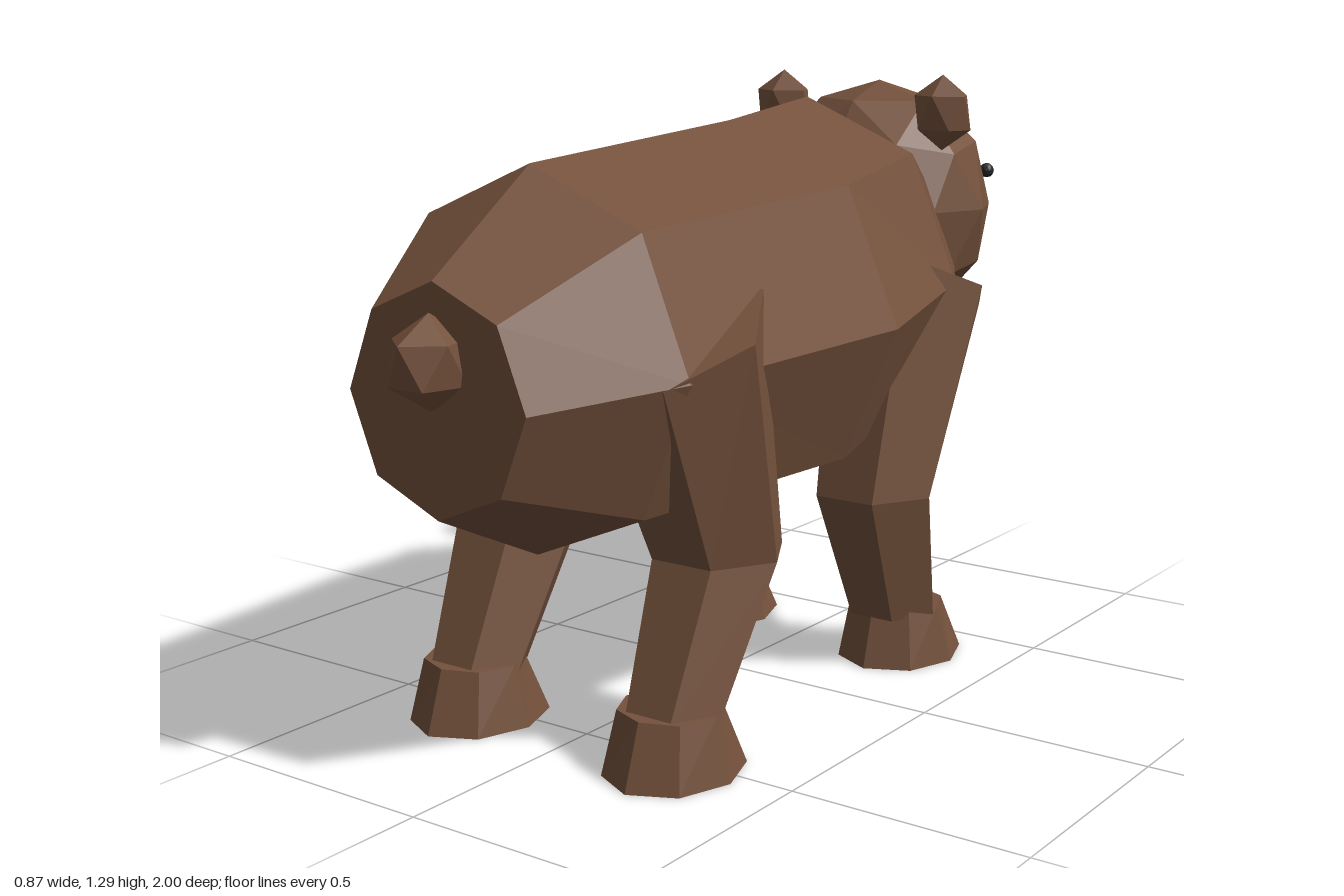
import * as THREE from 'three';

const mat = (name, color) => {
  const m = new THREE.MeshStandardMaterial({ color, flatShading: true });
  m.name = name;
  return m;
};

// Skin a list of rings (each an array of Vector3) and close both ends
function loft(rings) {
  const pos = [];
  const tri = (...pts) => pts.forEach((p) => pos.push(p.x, p.y, p.z));
  const n = rings[0].length;
  const mid = (r) => r.reduce((s, p) => s.add(p), new THREE.Vector3()).divideScalar(n);
  const first = rings[0], last = rings[rings.length - 1];
  const c0 = mid(first), c1 = mid(last);
  for (let i = 0; i < n; i++) {
    const j = (i + 1) % n;
    for (let k = 0; k + 1 < rings.length; k++) {
      const p = rings[k], q = rings[k + 1];
      tri(p[i], q[i], p[j]);
      tri(p[j], q[i], q[j]);
    }
    tri(c0, first[i], first[j]);
    tri(c1, last[j], last[i]);
  }
  const g = new THREE.BufferGeometry();
  g.setAttribute('position', new THREE.Float32BufferAttribute(pos, 3));
  g.computeVertexNormals();
  return g;
}

// Ring of n points around a centre; fn places each unit-circle point
const ring = (n, fn) => Array.from({ length: n }, (_, i) => {
  const a = (i / n) * Math.PI * 2;
  return new THREE.Vector3(...fn(Math.cos(a), Math.sin(a)));
});

// Faceted ball with its points at top and bottom
function ball(detail, rx, ry, rz) {
  return new THREE.IcosahedronGeometry(1, detail)
    .rotateZ(Math.atan(2 / (1 + Math.sqrt(5))))
    .rotateY(Math.PI / 2)
    .scale(rx, ry, rz);
}

export function createModel() {
  const group = new THREE.Group();
  const fur = mat('brown fur', 0x75523d);
  const tan = mat('tan muzzle', 0xa98866);
  const dark = mat('dark nose and eyes', 0x23272a);

  const add = (name, geometry, material, x = 0, y = 0, z = 0) => {
    const m = new THREE.Mesh(geometry, material);
    m.name = name;
    m.position.set(x, y, z);
    group.add(m);
    return m;
  };

  // Body: octagonal sections from rump to chest [z, centre y, half width, half height]
  const sections = [
    [0.91, 0.76, 0.215, 0.22],
    [0.64, 0.79, 0.37, 0.378],
    [0, 0.805, 0.42, 0.405],
    [-0.3, 0.86, 0.385, 0.385],
    [-0.52, 0.86, 0.26, 0.26],
  ];
  add('body', loft(sections.map(([z, y, rx, ry]) =>
    ring(8, (c, s) => [c * rx, y + s * ry, z]))), fur);

  // Head, muzzle and nose
  add('head', ball(1, 0.28, 0.287, 0.225), fur, 0, 0.982, -0.61);
  add('muzzle', ball(0, 0.16, 0.12, 0.14), tan, 0, 0.98, -0.82);
  add('nose', ball(1, 0.08, 0.057, 0.066), dark, 0, 1.005, -0.934);
  add('tail', ball(0, 0.08, 0.09, 0.09), fur, 0, 0.835, 0.92);

  // Legs: [name, ankle z, knee z, hip z, hip tilt, foot z, foot top z]
  const legs = [
    ['front', -0.275, -0.19, -0.33, 0.45, -0.315, -0.294],
    ['hind', 0.53, 0.395, 0.53, -0.47, 0.54, 0.553],
  ];

  for (const [side, sx] of [['left', 1], ['right', -1]]) {
    add(side + 'Ear', ball(0, 0.076, 0.085, 0.055), fur, sx * 0.215, 1.205, -0.53);
    add(side + 'Eye', ball(1, 0.017, 0.017, 0.017), dark, sx * 0.225, 1.06, -0.73);

    const x = sx * 0.253;
    for (const [name, ankle, knee, hip, tilt, footZ, footTop] of legs) {
      // Six-sided leg, bent at the knee, with a sloping shoulder or hip
      const legRing = (y, z, r, slope = 0) => ring(6, (c, s) =>
        [x + c * r, y + s * r * slope, z + s * r]);
      add(side + name + 'Leg', loft([
        legRing(0.11, ankle + (ankle - knee) * 0.07, 0.105),
        legRing(0.405, knee, 0.14),
        legRing(0.855, hip, 0.181, tilt),
      ]), fur);

      // Eight-sided flared paw
      add(side + name + 'Paw', loft([
        ring(8, (c, s) => [x + c * 0.133, 0, footZ + s * 0.157]),
        ring(8, (c, s) => [x + c * 0.108, 0.13, footTop + s * 0.1]),
      ]), fur);
    }
  }
  return group;
}
